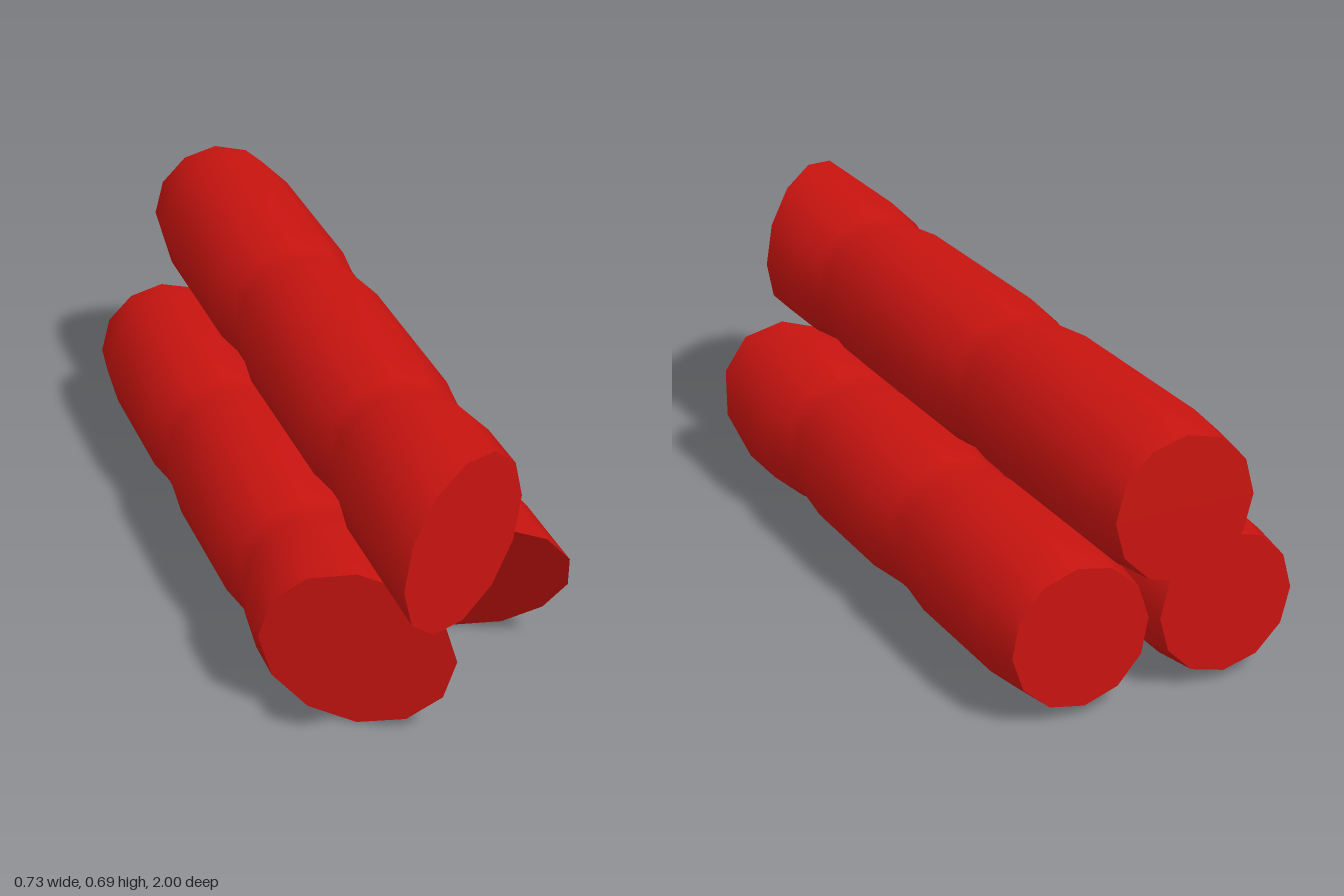
import * as THREE from 'three';

const SIDES = 12;

// Outer shell: smooth, ring by ring from back to front; the last ring lies on the slanted cut.
// Caps: flat faces with their own vertices.
function makeStick({ name, x, y, turn, back, nodes, cut }, material) {
  const [cutZ, slopeX, slopeY] = cut;
  const profile = [[back, 0.164], [back + 0.12, 0.18]];
  for (const z of nodes) {
    profile.push([z - 0.13, 0.18], [z - 0.03, 0.168], [z + 0.03, 0.168], [z + 0.12, 0.181]);
  }
  profile[profile.length - 1][1] = 0.186;
  profile.push([null, 0.187]);

  const rings = profile.map(([z, r]) => Array.from({ length: SIDES }, (_, i) => {
    const a = turn + (i / SIDES) * Math.PI * 2;
    const px = r * Math.cos(a), py = r * Math.sin(a);
    return [px, py, z === null ? cutZ + slopeX * px + slopeY * py : z];
  }));

  const index = [];
  for (let k = 0; k < rings.length - 1; k++) {
    for (let i = 0; i < SIDES; i++) {
      const j = (i + 1) % SIDES;
      const a = k * SIDES + i, b = k * SIDES + j;
      index.push(a, b, b + SIDES, a, b + SIDES, a + SIDES);
    }
  }
  const build = (points, faces) => {
    const g = new THREE.BufferGeometry();
    g.setAttribute('position', new THREE.Float32BufferAttribute(points.flat(), 3));
    g.setIndex(faces);
    g.computeVertexNormals();
    return g;
  };
  const frontFaces = [], backFaces = [];
  for (let i = 1; i < SIDES - 1; i++) {
    frontFaces.push(0, i, i + 1);
    backFaces.push(0, i + 1, i);
  }

  const stick = new THREE.Group();
  stick.name = name;
  stick.position.set(x, y, 0);
  const add = (part, geometry) => {
    const mesh = new THREE.Mesh(geometry, material);
    mesh.name = part;
    stick.add(mesh);
  };
  add('shell', build(rings.flat(), index));
  add('slantedFrontCap', build(rings[rings.length - 1], frontFaces));
  add('backCap', build(rings[0], backFaces));
  return stick;
}

export function createModel() {
  const group = new THREE.Group();
  group.name = 'stickBundle';
  const material = new THREE.MeshStandardMaterial({ color: 0xc81410 });

  // cut = [z at the axis, slope along x, slope along y]
  const sticks = [
    { name: 'topStick', x: 0.006, y: 0.5, turn: 0, back: -1, nodes: [-0.29, 0.44], cut: [0.848, -0.81, 0] },
    { name: 'leftStick', x: 0.177, y: 0.187, turn: -0.065, back: -0.88, nodes: [-0.31, 0.24], cut: [0.505, 0.39, 0.59] },
    { name: 'rightStick', x: -0.179, y: 0.187, turn: 0, back: -0.88, nodes: [-0.27, 0.36], cut: [0.7, 0.62, 0] },
  ];
  for (const s of sticks) group.add(makeStick(s, material));
  return group;
}
